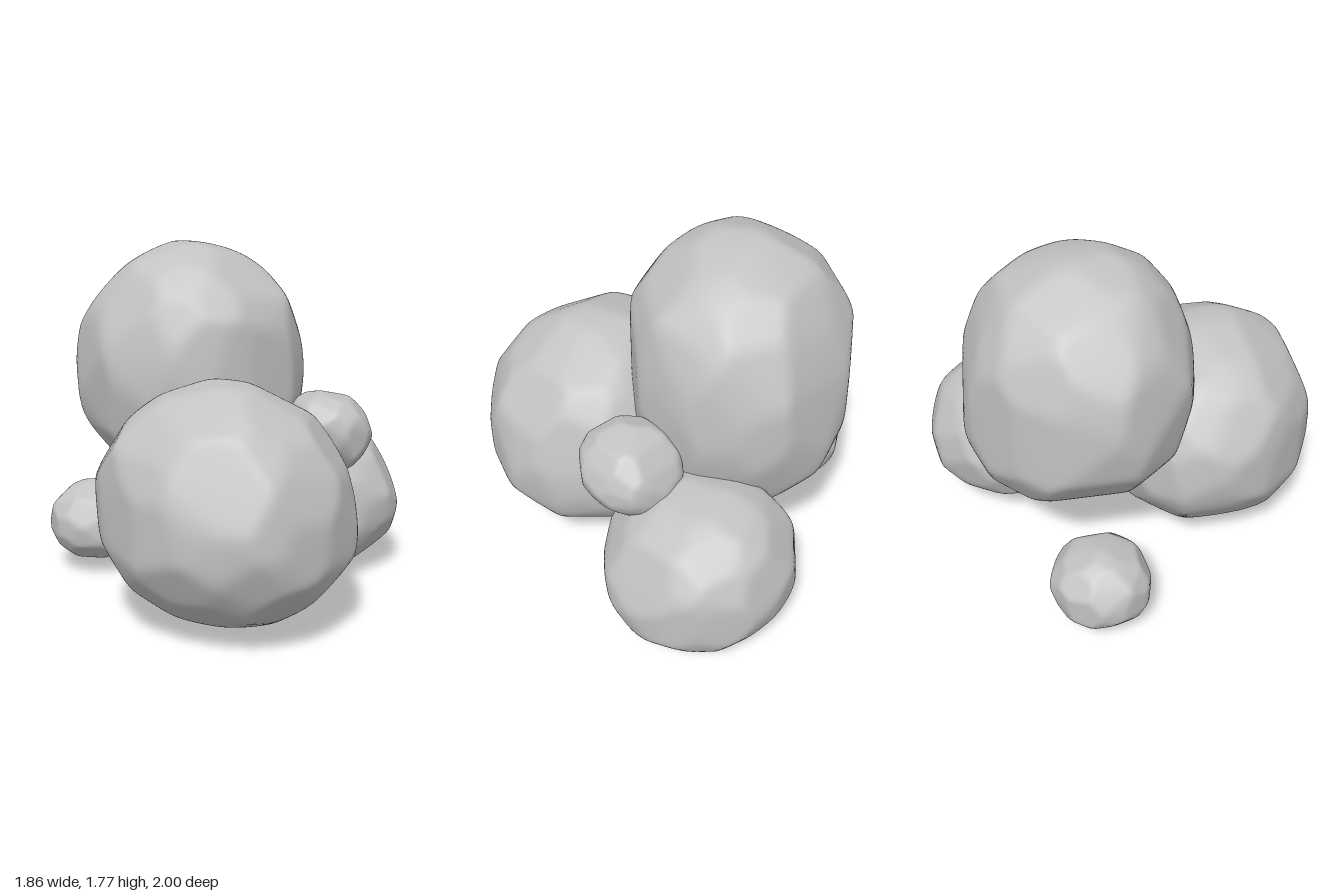
import * as THREE from 'three';
import { mergeVertices } from 'three/addons/utils/BufferGeometryUtils.js';

const stone = new THREE.MeshStandardMaterial({ color: 0xc2c2c2 });
stone.name = 'grey stone';

// Small seeded generator for the irregular facets
function seeded(seed) {
  return () => {
    seed = (seed * 16807) % 2147483647;
    return seed / 2147483647;
  };
}

// Planes that shave a boulder down to an outline; a and b are the outline's axes
function outlinePlanes({ points, a, b }, centre) {
  return points.map((p, i) => {
    const q = points[(i + 1) % points.length];
    const n = new THREE.Vector3();
    n[a] = q[1] - p[1];
    n[b] = p[0] - q[0];
    n.normalize();
    const h = n[a] * (p[0] - centre[a]) + n[b] * (p[1] - centre[b]);
    return n.divideScalar(h);
  });
}

// How far an outline reaches along direction n
function reach({ points, a, b }, n, centre) {
  return Math.max(...points.map((p) => n[a] * (p[0] - centre[a]) + n[b] * (p[1] - centre[b])));
}

// A boulder: a sphere cut by three outlines and a spread of chisel planes,
// with softly worn edges. Outlines: front (x, y), side (z, y), plan (x, z).
function boulder(name, seed, detail, facets, front, side, plan) {
  const box = new THREE.Box3();
  front.forEach(([x, y]) => side.forEach(([z]) => box.expandByPoint(new THREE.Vector3(x, y, z))));
  const centre = box.getCenter(new THREE.Vector3());
  const size = box.getSize(new THREE.Vector3());
  const outlines = [
    { points: front, a: 'x', b: 'y' },
    { points: side, a: 'z', b: 'y' },
    { points: plan, a: 'x', b: 'z' },
  ];
  const planes = outlines.flatMap((outline) => outlinePlanes(outline, centre));

  // Chisel planes: their distance blends the reach of the three outlines
  const rand = seeded(seed);
  for (let i = 0; i < facets; i++) {
    const y = 1 - (2 * (i + 0.5)) / facets;
    const r = Math.sqrt(1 - y * y);
    const t = i * 2.39996 + rand() * 0.5;
    const n = new THREE.Vector3(Math.cos(t) * r, y, Math.sin(t) * r).divide(size).normalize();
    const squares = outlines.reduce((s, outline) => s + reach(outline, n, centre) ** 2, 0);
    const h = Math.sqrt(squares / 2) * (0.955 + rand() * 0.045);
    planes.push(n.divideScalar(h));
  }

  let geometry = new THREE.IcosahedronGeometry(1, detail);
  geometry.deleteAttribute('uv');
  geometry.deleteAttribute('normal');
  geometry = mergeVertices(geometry, 1e-4);

  // Push each vertex out to the nearest plane, rounding where planes meet
  const pos = geometry.attributes.position;
  const d = new THREE.Vector3();
  for (let i = 0; i < pos.count; i++) {
    d.fromBufferAttribute(pos, i).multiply(size).normalize();
    let sum = 0;
    for (const n of planes) sum += Math.max(0, n.dot(d)) ** 90;
    d.multiplyScalar(sum ** (-1 / 90));
    pos.setXYZ(i, d.x, d.y, d.z);
  }

  // Bring the worn stone back to its intended size
  geometry.computeBoundingBox();
  const made = geometry.boundingBox.getSize(new THREE.Vector3());
  geometry.center();
  geometry.scale(size.x / made.x, size.y / made.y, size.z / made.z);
  geometry.computeVertexNormals();

  const mesh = new THREE.Mesh(geometry, stone);
  mesh.name = name;
  mesh.position.copy(centre);
  return mesh;
}

export function createModel() {
  const group = new THREE.Group();
  group.name = 'boulderPile';

  group.add(boulder('tallBoulder', 11, 28, 84,
    [[-.27, 1.77], [-.1, 1.765], [.13, 1.68], [.36, 1.5], [.39, 1.3], [.42, 1], [.33, .62],
      [.05, .41], [-.25, .48], [-.5, .67], [-.68, .9], [-.74, 1.15], [-.7, 1.37], [-.5, 1.62]],
    [[-.02, 1.755], [.15, 1.65], [.27, 1.3], [.29, 1.15], [.24, .85], [0, .52], [-.36, .41],
      [-.6, .47], [-.78, .65], [-.82, .9], [-.78, 1.2], [-.7, 1.45], [-.6, 1.63], [-.35, 1.75], [-.18, 1.77]],
    [[-.74, -.17], [-.68, -.4], [-.55, -.6], [-.3, -.78], [-.1, -.82], [.1, -.8], [.35, -.6],
      [.42, -.43], [.38, -.1], [.2, .12], [0, .26], [-.12, .29], [-.3, .27], [-.5, .2], [-.68, 0]]));

  group.add(boulder('frontBoulder', 29, 28, 84,
    [[.05, 1.18], [.25, 1.16], [.5, 1.02], [.68, .77], [.75, .5], [.73, .35], [.4, .06],
      [.2, .03], [-.2, .15], [-.4, .38], [-.49, .55], [-.48, .75], [-.33, .98], [-.13, 1.13]],
    [[.4, 1.18], [.6, 1.16], [.83, 1], [.93, .78], [1, .6], [.98, .38], [.85, .2], [.6, .06],
      [.38, .03], [.15, .09], [-.02, .22], [-.12, .45], [-.08, .75], [.05, 1], [.22, 1.14]],
    [[-.49, .45], [-.46, .2], [-.25, 0], [.1, -.12], [.4, -.08], [.6, .08], [.72, .3],
      [.75, .47], [.65, .72], [.4, .99], [.2, 1], [0, .97], [-.2, .86], [-.4, .65]]));

  group.add(boulder('backBoulder', 47, 24, 76,
    [[.4, .81], [.6, .77], [.78, .67], [.87, .5], [.93, .36], [.9, .22], [.75, .07],
      [.55, 0], [.35, .04], [.1, .2], [.02, .42], [.1, .65], [.25, .77]],
    [[-.6, .81], [-.78, .77], [-.92, .65], [-1, .42], [-.97, .25], [-.8, .08], [-.55, 0],
      [-.35, .04], [-.18, .17], [-.1, .35], [-.12, .5], [-.25, .71], [-.4, .79]],
    [[.4, -1], [.6, -.98], [.8, -.83], [.92, -.63], [.93, -.48], [.88, -.34], [.75, -.2],
      [.5, -.1], [.25, -.17], [.08, -.35], [.02, -.6], [.08, -.8], [.2, -.93]]));

  group.add(boulder('wedgedPebble', 83, 16, 56,
    [[.5, 1.03], [.68, .98], [.75, .9], [.79, .8], [.74, .7], [.6, .6], [.45, .63],
      [.35, .75], [.34, .9], [.4, 1]],
    [[-.17, 1.03], [-.3, .98], [-.38, .89], [-.43, .78], [-.37, .68], [-.2, .6], [-.08, .65],
      [.01, .78], [.04, .92], [-.04, 1]],
    [[.55, -.43], [.72, -.37], [.79, -.22], [.77, -.08], [.67, .02], [.55, .04], [.43, -.01],
      [.35, -.1], [.34, -.28], [.4, -.4]]));

  group.add(boulder('loosePebble', 101, 16, 56,
    [[-.7, .49], [-.55, .45], [-.46, .35], [-.45, .22], [-.52, .1], [-.65, .06], [-.83, .11],
      [-.92, .21], [-.93, .3], [-.87, .39], [-.8, .46]],
    [[-.25, .49], [-.42, .42], [-.5, .3], [-.46, .17], [-.3, .06], [-.15, .08], [-.03, .18],
      [-.01, .28], [-.08, .42]],
    [[-.7, -.5], [-.83, -.43], [-.93, -.28], [-.91, -.17], [-.83, -.05], [-.7, -.01], [-.55, -.03],
      [-.46, -.15], [-.45, -.3], [-.53, -.44]]));

  return group;
}
